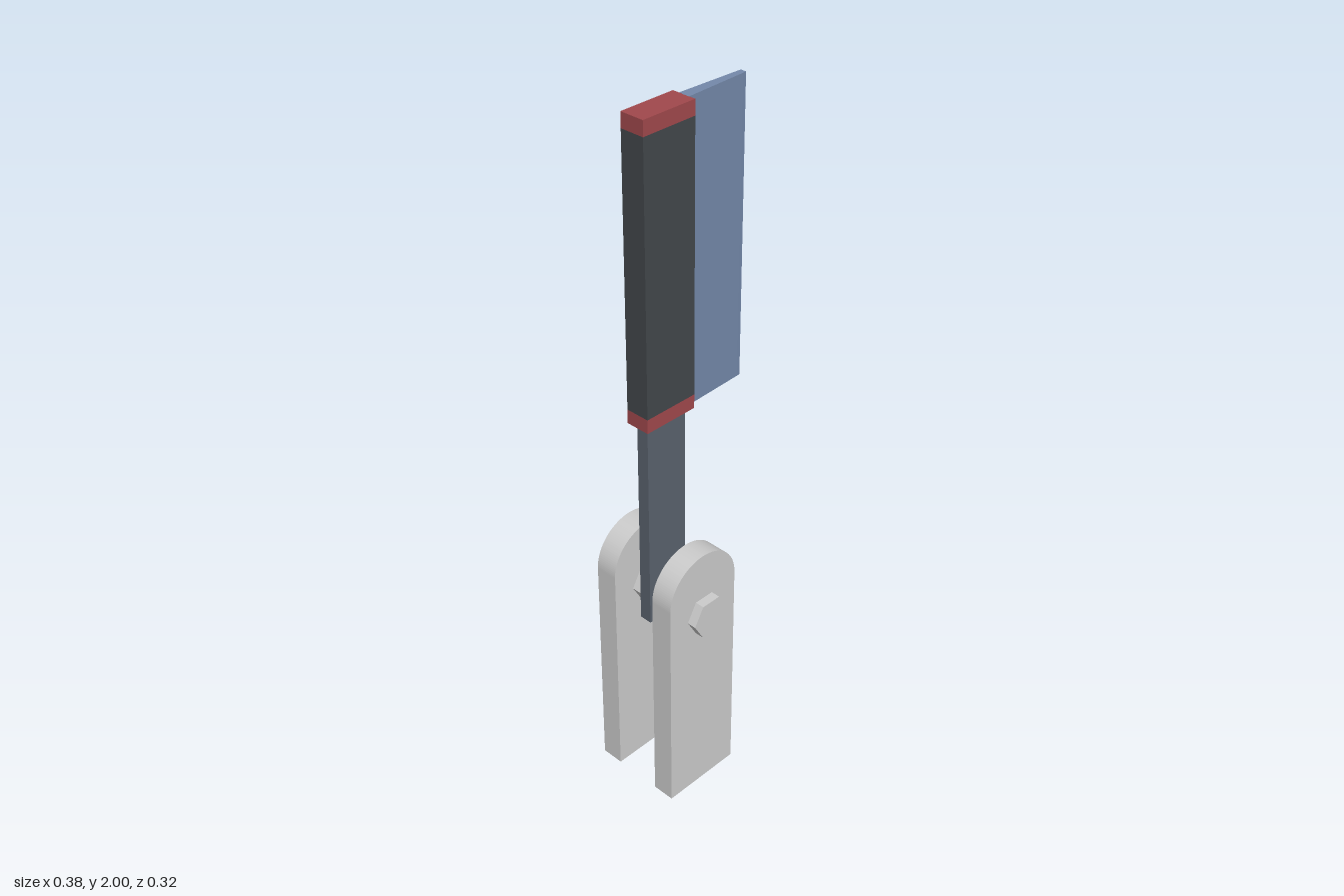
import * as THREE from 'three';

const GREY = 0xcccccc, DARK = 0x42474b, STEEL = 0x5a626d, RED = 0xa0484c, BLUE = 0x7489aa;

function add(parent, name, geometry, color) {
  const mesh = new THREE.Mesh(geometry, new THREE.MeshStandardMaterial({ color }));
  mesh.name = name;
  parent.add(mesh);
  return mesh;
}

// Box given by its minimum and maximum corners
function box(x0, x1, y0, y1, z0, z1) {
  return new THREE.BoxGeometry(x1 - x0, y1 - y0, z1 - z0)
    .translate((x0 + x1) / 2, (y0 + y1) / 2, (z0 + z1) / 2);
}

export function createModel() {
  const model = new THREE.Group();
  model.name = 'hingedPaddle';

  // Two round-topped bracket plates
  const cx = -0.0715, r = 0.1215, plateDepth = 0.066;
  const outline = new THREE.Shape();
  outline.moveTo(cx - r, 0);
  outline.lineTo(cx + r, 0);
  outline.lineTo(cx + r, 0.8 - r);
  outline.absarc(cx, 0.8 - r, r, 0, Math.PI, false);
  outline.closePath();
  const plate = new THREE.ExtrudeGeometry(outline, { depth: plateDepth, bevelEnabled: false, curveSegments: 32 });
  for (const [name, z] of [['frontPlate', 0.101], ['backPlate', -0.105]]) {
    add(model, name, plate, GREY).position.z = z - plateDepth / 2;
  }

  // Hexagonal pivot pin with corners pointing sideways
  const pin = new THREE.CylinderGeometry(0.0605, 0.0605, 0.321, 6).toNonIndexed();
  pin.rotateY(Math.PI / 2).rotateX(Math.PI / 2);
  pin.computeVertexNormals();
  add(model, 'pivotPin', pin, GREY).position.set(-0.0675, 0.607, 0);

  // Flat shaft carried by the pin
  add(model, 'shaft', box(-0.152, -0.02, 0.555, 1.19, -0.018, 0.018), STEEL);

  // Spine with a cap at each end
  const cap = [-0.168, -0.004], d = 0.035;
  add(model, 'spine', box(...cap, 1.22, 1.96, -d, d), DARK);
  add(model, 'lowerCap', box(...cap, 1.18, 1.22, -d, d), RED);
  add(model, 'upperCap', box(...cap, 1.96, 2, -d, d), RED);

  // Tapered blade, its cross-section extruded upwards
  const section = new THREE.Shape([
    [-0.005, 0.016], [-0.005, -0.016], [0.18, -0.009], [0.192, -0.008], [0.192, 0.008], [0.18, 0.009],
  ].map(([x, y]) => new THREE.Vector2(x, y)));
  const blade = new THREE.ExtrudeGeometry(section, { depth: 0.82, bevelEnabled: false });
  blade.rotateX(-Math.PI / 2);
  add(model, 'blade', blade, BLUE).position.y = 1.18;

  return model;
}
